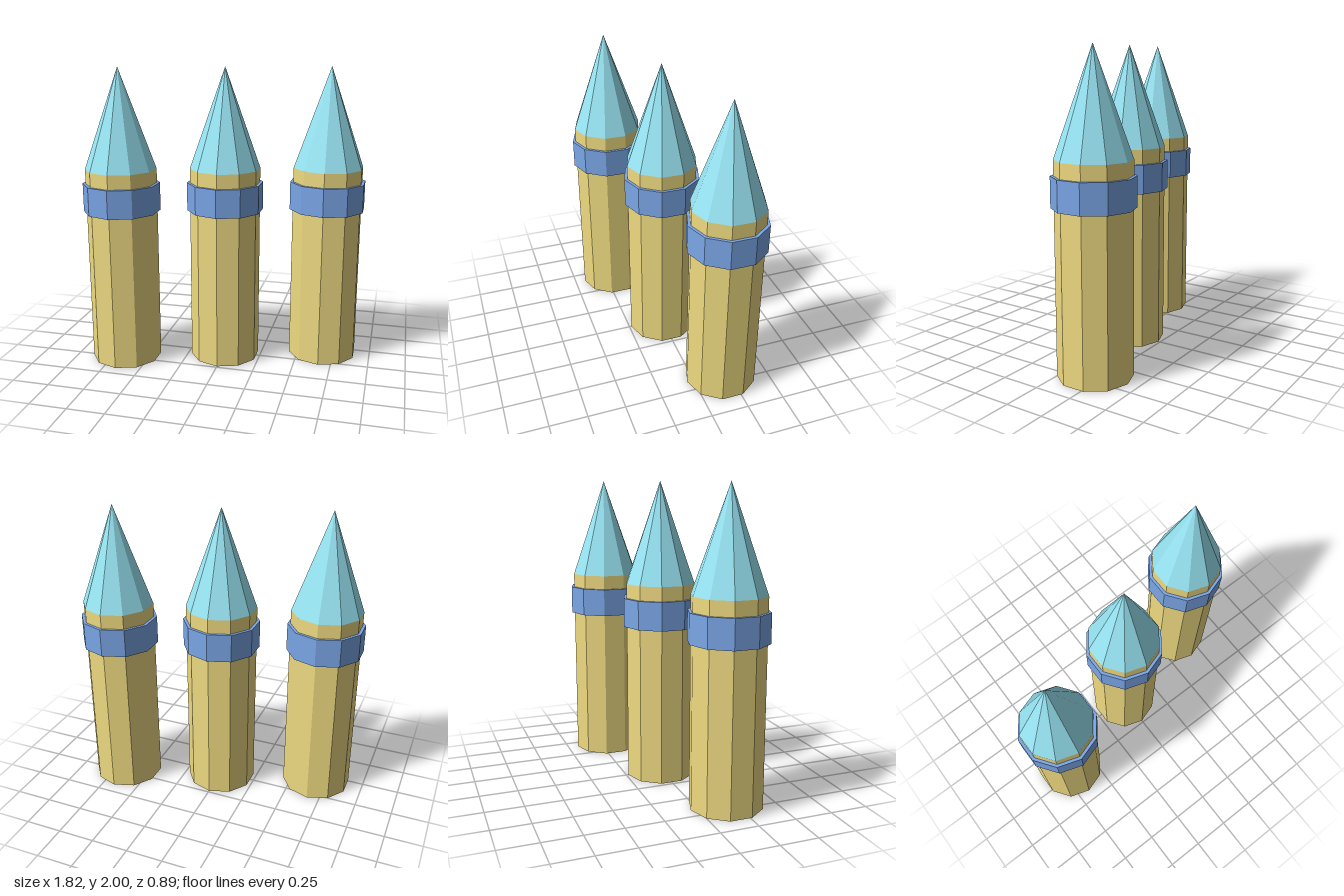
import * as THREE from 'three';

const SIDES = 10;

function material(color) {
  return new THREE.MeshStandardMaterial({ color, flatShading: true });
}

export function createModel() {
  const model = new THREE.Group();
  const shaftMaterial = material(0xf0dc82);
  const bandMaterial = material(0x7ba7e8);
  const roofMaterial = material(0x99e6f5);

  // Adds a ten-sided drum or cone between two heights
  function addPart(parent, name, topRadius, bottomRadius, y0, y1, mat) {
    const geometry = new THREE.CylinderGeometry(topRadius, bottomRadius, y1 - y0, SIDES);
    const mesh = new THREE.Mesh(geometry, mat);
    mesh.name = name;
    mesh.position.y = (y0 + y1) / 2;
    parent.add(mesh);
  }

  // Three identical towers in a diagonal row
  ['rightTower', 'middleTower', 'leftTower'].forEach((name, i) => {
    const tower = new THREE.Group();
    tower.name = name;
    addPart(tower, 'shaft', 0.236, 0.236, 0, 1.335, shaftMaterial);
    addPart(tower, 'band', 0.256, 0.256, 1.05, 1.24, bandMaterial);
    addPart(tower, 'roof', 0, 0.236, 1.335, 2, roofMaterial);
    tower.position.set((i - 1) * 0.666, 0, (1 - i) * 0.19);
    model.add(tower);
  });

  return model;
}
